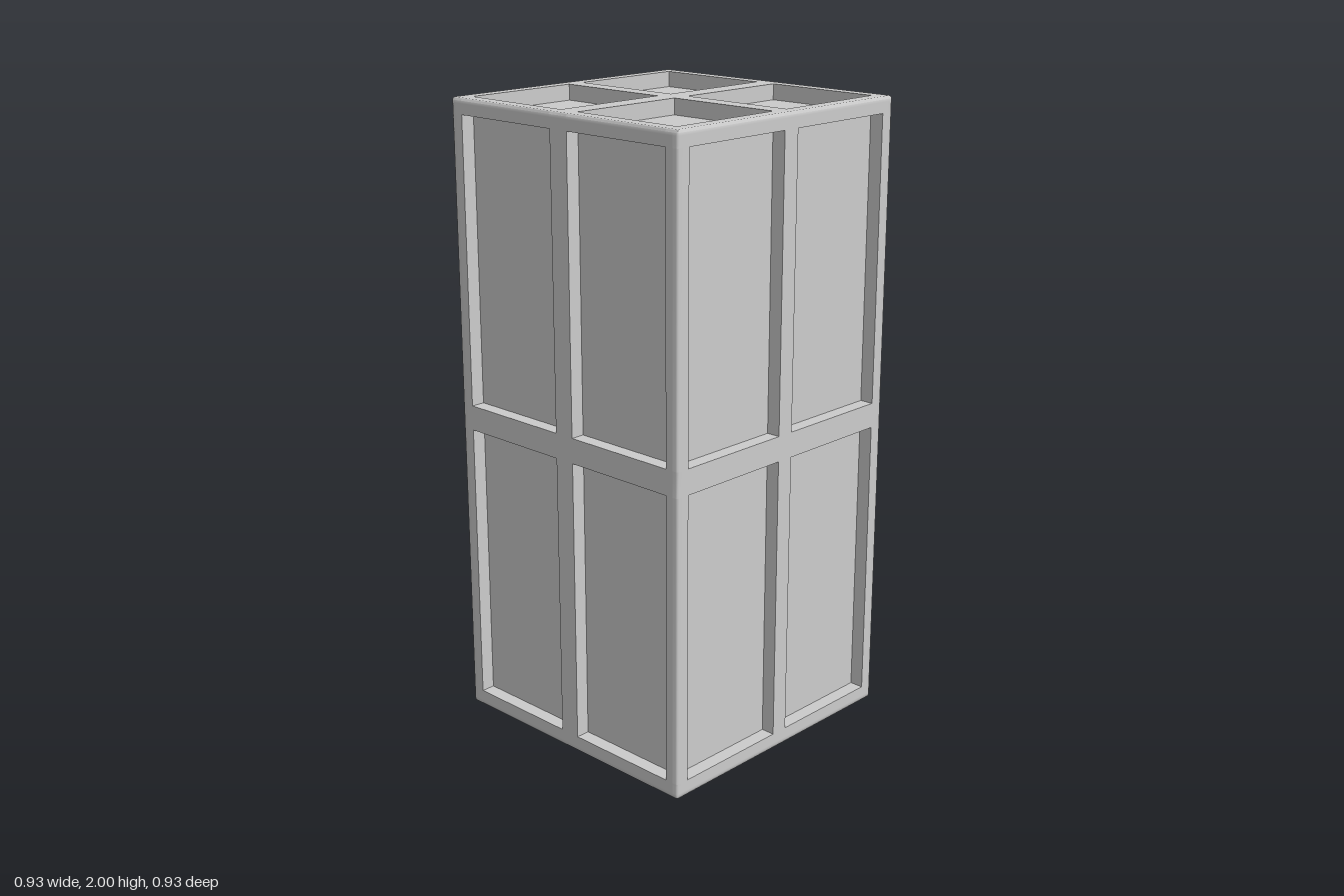
import * as THREE from 'three';
import { mergeGeometries, toCreasedNormals } from 'three/addons/utils/BufferGeometryUtils.js';

const HALF = [0.467, 1, 0.467];      // half size of the block on x, y, z
const RIM = [0.045, 0.05, 0.045];    // rim width, also the depth of the recesses
const MID = [0.035, 0.04, 0.029];    // half width of the middle bars
const RADIUS = 0.0075;               // rounding of the outer edges

// Pull a point onto the rounded outer envelope.
function roundOuter(p) {
  const inner = new THREE.Vector3(...HALF).subScalar(RADIUS);
  const q = p.clone().clamp(inner.clone().negate(), inner);
  const d = p.clone().sub(q);
  if (d.length() > RADIUS) p.copy(q).add(d.setLength(RADIUS));
  return p;
}

// One piece of the frame, finely divided only across the outer rim.
function framePiece(cell, cuts) {
  const size = cell.map((i, a) => cuts[a][i + 1] - cuts[a][i]);
  const mid = cell.map((i, a) => (cuts[a][i + 1] + cuts[a][i]) / 2);
  const segs = cell.map(i => (i % 4 === 0 ? 6 : 1));
  const geo = new THREE.BoxGeometry(...size, ...segs).translate(...mid);
  const pos = geo.attributes.position;
  const p = new THREE.Vector3();
  for (let n = 0; n < pos.count; n++) {
    roundOuter(p.fromBufferAttribute(pos, n));
    pos.setXYZ(n, p.x, p.y, p.z);
  }
  return toCreasedNormals(geo, 0.9);
}

export function createModel() {
  const group = new THREE.Group();
  const material = new THREE.MeshStandardMaterial({ color: 0xcccccc });

  // Every axis is cut into rim, opening, middle bar, opening, rim.
  const cuts = HALF.map((h, a) => [-h, RIM[a] - h, -MID[a], MID[a], h - RIM[a], h]);
  const pieces = [];
  for (let i = 0; i < 5; i++) for (let j = 0; j < 5; j++) for (let k = 0; k < 5; k++) {
    const cell = [i, j, k];
    const outer = cell.filter(c => c % 4 === 0).length;
    const open = cell.filter(c => c % 2 === 1).length;
    // Leave out the inside and the four openings of each face.
    if (outer === 0 || open === 2) continue;
    pieces.push(framePiece(cell, cuts));
  }
  const frame = new THREE.Mesh(mergeGeometries(pieces), material);
  frame.name = 'frame';

  // Inner block whose faces form the recessed panels.
  const core = new THREE.Mesh(
    new THREE.BoxGeometry(...HALF.map((h, a) => 2 * (h - RIM[a]))), material);
  core.name = 'recessedPanels';

  group.add(frame, core);
  group.children.forEach(m => { m.position.y = HALF[1]; });
  return group;
}
